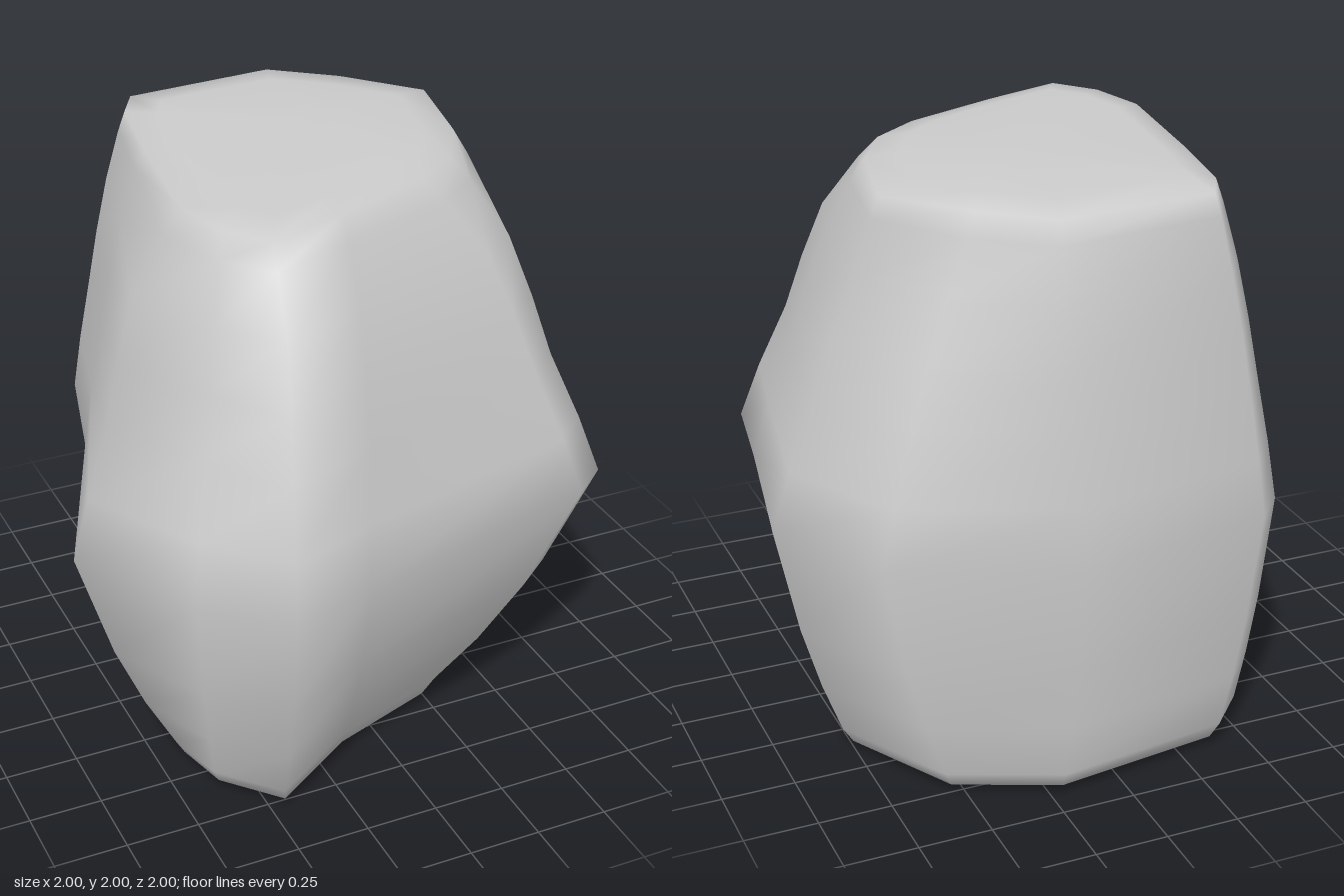
import * as THREE from 'three';

// Outlines as [x, z] corners, all starting at the front corner and running
// along the front, the +x side, the back and the -x side.
const BASE = [[-.47, .82], [-.15, .61], [.24, .47], [.4, .35], [.73, .06], [.79, -.4],
  [.57, -.79], [.22, -.94], [-.38, -.86], [-.51, -.72], [-.61, -.13], [-.69, .43], [-.64, .63]];
const BELLY = [[-.5, 1], [-.2, .9], [.7, .67], [.83, .56], [.89, .2], [1, -.38],
  [.77, -.78], [.18, -1], [-.5, -.89], [-.6, -.78], [-.69, -.4], [-1, .36], [-.75, .79]];
const SHOULDER = [[-.47, .91], [-.15, .78], [.56, .56], [.68, .45], [.76, .14], [.85, -.38],
  [.66, -.74], [.19, -.95], [-.45, -.85], [-.54, -.73], [-.63, -.37], [-.845, .3], [-.66, .63]];
const UPPER = [[-.41, .74], [-.12, .63], [.44, .42], [.57, .33], [.65, .06], [.7, -.38],
  [.51, -.68], [.2, -.89], [-.39, -.81], [-.47, -.69], [-.55, -.34], [-.73, .25], [-.57, .55]];
const CROWN = [[-.38, .56], [-.1, .46], [.25, .31], [.42, .18], [.54, -.03], [.62, -.4],
  [.41, -.65], [.2, -.82], [-.34, -.77], [-.41, -.64], [-.47, -.3], [-.54, .2], [-.49, .42]];

// Blend two outlines, then shrink the result about its own middle
function ring(y, from, to, t, scale = 1) {
  const pts = from.map(([x, z], i) => [x + (to[i][0] - x) * t, z + (to[i][1] - z) * t]);
  const cx = pts.reduce((s, p) => s + p[0], 0) / pts.length;
  const cz = pts.reduce((s, p) => s + p[1], 0) / pts.length;
  return pts.map(([x, z]) => [cx + (x - cx) * scale, y, cz + (z - cz) * scale]);
}

// Skin stacked rings and close them with a centre point at each end
function skin(rings, bottom, top) {
  const n = rings[0].length, pos = rings.flat(2), index = [];
  for (let r = 0; r < rings.length - 1; r++) {
    for (let i = 0; i < n; i++) {
      const j = (i + 1) % n;
      const a = r * n + i, b = r * n + j, c = a + n, d = b + n;
      index.push(a, b, d, a, d, c);
    }
  }
  const low = rings.length * n, high = low + 1, last = (rings.length - 1) * n;
  pos.push(...bottom, ...top);
  for (let i = 0; i < n; i++) {
    const j = (i + 1) % n;
    index.push(low, j, i, high, last + i, last + j);
  }
  const geometry = new THREE.BufferGeometry();
  geometry.setAttribute('position', new THREE.Float32BufferAttribute(pos, 3));
  geometry.setIndex(index);
  geometry.computeVertexNormals();
  return geometry;
}

export function createModel() {
  const group = new THREE.Group();
  group.name = 'boulder';

  const rings = [
    // underside and lower rim
    ring(.02, BASE, BASE, 0, .75),
    ring(.035, BASE, BASE, 0, .96),
    ring(.1, BASE, BELLY, .03),
    // swelling lower half
    ring(.28, BASE, BELLY, .34),
    ring(.5, BASE, BELLY, .64),
    ring(.87, BASE, BELLY, 1),
    // quick step in to the shoulder, then a steady taper
    ring(1.07, BELLY, SHOULDER, .42),
    ring(1.3, BELLY, SHOULDER, 1),
    ring(1.5, SHOULDER, UPPER, .46),
    ring(1.7, SHOULDER, UPPER, 1),
    // rounded rim and flat crown
    ring(1.88, UPPER, CROWN, .66),
    ring(1.955, UPPER, CROWN, 1),
    ring(1.975, CROWN, CROWN, 0, .8),
  ];

  const rock = new THREE.Mesh(
    skin(rings, [.2, 0, -.1], [.15, 2, -.2]),
    new THREE.MeshStandardMaterial({ color: 0xcccccc }),
  );
  rock.name = 'rock';
  group.add(rock);
  return group;
}
